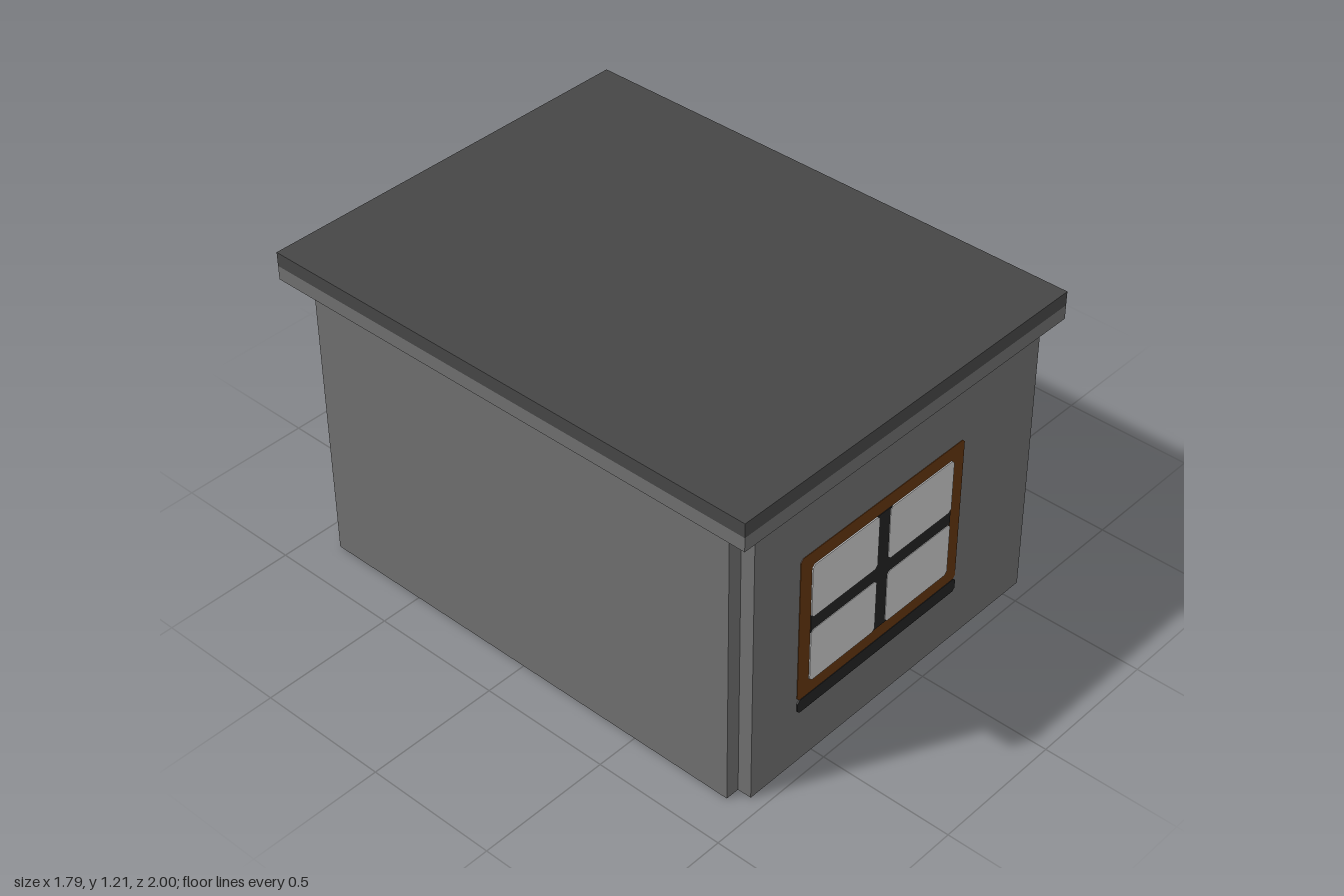
import * as THREE from 'three';

const mat = (name, color) => {
  const m = new THREE.MeshStandardMaterial({ color });
  m.name = name;
  return m;
};

export function createModel() {
  const wall = mat('wallGrey', 0x6e6e6e);
  const dark = mat('slateGrey', 0x464646);
  const black = mat('ironBlack', 0x222222);
  const wood = mat('brownWood', 0x63350f);
  const green = mat('greenGlass', 0x8f9f40);
  const white = mat('paleGlass', 0xc9c9c9);

  // Everything is laid out in whole units, 19 units to one unit of the final size
  const house = new THREE.Group();
  house.name = 'house';
  house.scale.setScalar(1 / 19);

  const add = (parent, name, geometry, material) => {
    const m = new THREE.Mesh(geometry, material);
    m.name = name;
    parent.add(m);
    return m;
  };

  const box = (name, material, x0, x1, y0, y1, z0, z1) =>
    add(house, name, new THREE.BoxGeometry(x1 - x0, y1 - y0, z1 - z0), material)
      .position.set((x0 + x1) / 2, (y0 + y1) / 2, (z0 + z1) / 2);

  // Thin plate with clipped corners; a higher layer lies on top of a lower one
  const plate = (parent, name, material, x0, x1, y0, y1, layer, c = 0) => {
    const points = c
      ? [[x0 + c, y0], [x1 - c, y0], [x1, y0 + c], [x1, y1 - c],
        [x1 - c, y1], [x0 + c, y1], [x0, y1 - c], [x0, y0 + c]]
      : [[x0, y0], [x1, y0], [x1, y1], [x0, y1]];
    const shape = new THREE.Shape(points.map(p => new THREE.Vector2(...p)));
    add(parent, name, new THREE.ExtrudeGeometry(shape, { depth: 0.04 * layer, bevelEnabled: false }), material);
  };

  // Walls with notched corners, topped by a dark frieze of the same outline
  const outline = new THREE.Shape([
    [-15, -18], [11, -18], [11, -17], [12, -17], [12, 17], [11, 17],
    [11, 18], [-15, 18], [-15, 17], [-16, 17], [-16, -17], [-15, -17],
  ].map(p => new THREE.Vector2(...p)));
  const storey = (name, material, y0, y1) => {
    const g = new THREE.ExtrudeGeometry(outline, { depth: y1 - y0, bevelEnabled: false });
    g.rotateX(-Math.PI / 2).translate(0, y0, 0);
    add(house, name, g, material);
  };
  storey('walls', wall, 0, 20);
  storey('frieze', dark, 20, 21);

  // Flat roof
  box('cornice', wall, -17, 12, 21, 22, -19, 19);
  box('roof', dark, -17, 12, 22, 23, -19, 19);

  // Three steps up to the door
  for (let i = 0; i < 3; i++) {
    box('step', dark, 12, 17 - i, i, i + 1, i - 6, 8 - i);
  }

  // A facade is a group whose local +z points out of its wall
  const facade = (name, x, z, angle) => {
    const g = new THREE.Group();
    g.name = name;
    g.position.set(x, 0, z);
    g.rotation.y = angle;
    house.add(g);
    return g;
  };
  const front = facade('frontFacade', 0, 18, 0);
  const back = facade('backFacade', 0, -18, Math.PI);
  const side = facade('entranceFacade', 12, 0, Math.PI / 2);

  // Window: frame, sill, glazing bars and four panes
  const windowAt = (parent, glass, x0, x1, y0, y1) => {
    const g = new THREE.Group();
    g.name = 'window';
    parent.add(g);
    const mx = (x0 + x1) / 2;
    const my = (y0 + y1) / 2;
    plate(g, 'frame', wood, x0, x1, y0, y1, 1, 0.2);
    plate(g, 'sill', black, x0, x1, y0 - 1, y0, 2, 0.2);
    plate(g, 'uprightBar', black, mx - 0.7, mx + 0.7, y0 + 1, y1 - 1, 2);
    plate(g, 'crossBar', black, x0 + 1, x1 - 1, my - 0.7, my + 0.7, 2);
    for (const [a, b] of [[x0 + 1, mx - 0.5], [mx + 0.5, x1 - 1]]) {
      for (const [c, d] of [[y0 + 1, my - 0.5], [my + 0.5, y1 - 1]]) {
        plate(g, 'pane', glass, a, b, c, d, 3, 0.2);
      }
    }
  };
  windowAt(front, white, -11, 4, 5, 16);
  windowAt(back, green, -4, 11, 5, 16);
  windowAt(side, green, -16, -9, 7, 18);
  windowAt(side, green, 8, 15, 7, 18);

  // Door with two iron bars, a crosspiece and two small panes
  const door = new THREE.Group();
  door.name = 'door';
  side.add(door);
  plate(door, 'doorPanel', wood, -6, 4, 3, 17, 1, 0.15);
  plate(door, 'doorBar', black, -3, -2, 9, 17, 2, 0.15);
  plate(door, 'doorBar', black, 0, 1, 9, 17, 2, 0.15);
  plate(door, 'doorCrosspiece', black, -2, 0, 12, 14, 2);
  plate(door, 'doorPane', green, -2, 0, 10, 12, 2);
  plate(door, 'doorPane', green, -2, 0, 14, 16, 2);

  const model = new THREE.Group();
  model.name = 'smallHouse';
  model.add(house);
  return model;
}
